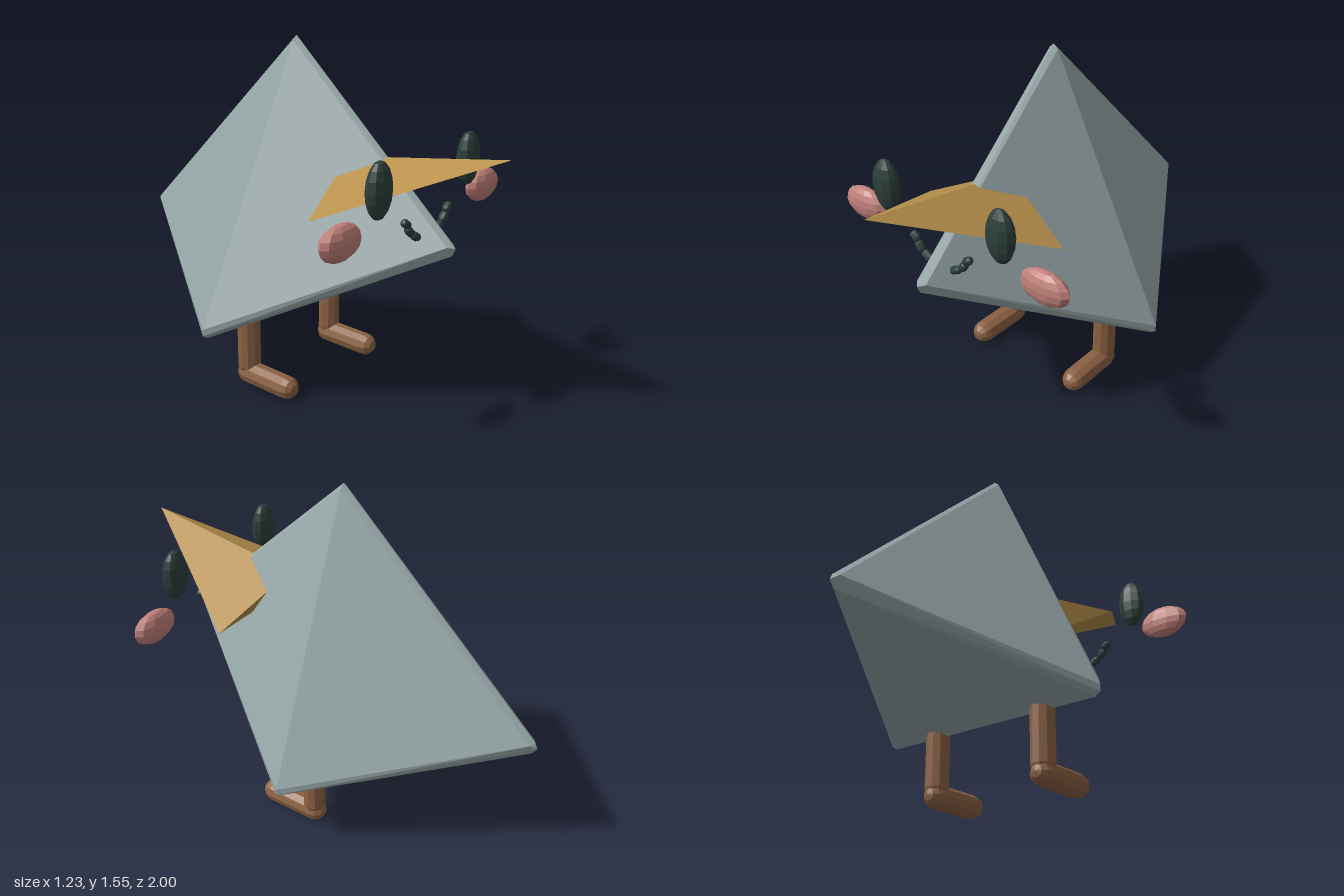
import * as THREE from 'three';
import { ConvexGeometry } from 'three/addons/geometries/ConvexGeometry.js';

const material = (color) => new THREE.MeshStandardMaterial({ color, flatShading: true });
const bodyMat = material(0x95a5a6);
const beakMat = material(0xb8904c);
const eyeMat = material(0x2c3e3a);
const cheekMat = material(0xc08079);
const legMat = material(0x8b6142);

const hull = (points) => new ConvexGeometry(points.map((p) => new THREE.Vector3(...p)));

export function createModel() {
  const model = new THREE.Group();
  model.name = 'pyramidBird';

  const add = (name, geometry, mat, position = [0, 0, 0]) => {
    const mesh = new THREE.Mesh(geometry, mat);
    mesh.name = name;
    mesh.position.set(...position);
    model.add(mesh);
    return mesh;
  };

  // Low-poly ellipsoid
  const ellipsoid = (name, mat, position, radii) =>
    add(name, new THREE.SphereGeometry(1, 10, 8).scale(...radii), mat, position);

  // Faceted rod with domed ends between two points
  const rod = (name, mat, a, b, radius, sides) => {
    const from = new THREE.Vector3(...a);
    const dir = new THREE.Vector3(...b).sub(from);
    const mesh = add(name, new THREE.CapsuleGeometry(radius, dir.length(), 3, sides), mat);
    mesh.position.copy(from).addScaledVector(dir, 0.5);
    mesh.quaternion.setFromUnitVectors(new THREE.Vector3(0, 1, 0), dir.normalize());
    return mesh;
  };

  // Body: five-cornered pyramid with narrow bevels at ridges and base
  const corners = [
    [0, 1.55, -0.05],
    [0, 0.8, 0.77], [0, 0.785, 0.785], [0, 0.75, 0.77],
    [0, 0.65, -0.99], [0, 0.625, -1], [0, 0.595, -0.98],
  ];
  for (const s of [1, -1]) {
    corners.push(
      [s * 0.022, 1.53, -0.05],
      [s * 0.025, 0.79, 0.76],
      [s * 0.025, 0.645, -0.975],
      [s * 0.56, 0.36, -0.09], [s * 0.56, 0.33, -0.09], [s * 0.535, 0.313, -0.09],
    );
  }
  add('body', hull(corners), bodyMat);

  // Beak: tetrahedron whose back corner sits inside the body
  add('beak', hull([
    [0, 1.185, 1], [0.375, 0.895, 0.34], [-0.375, 0.895, 0.34], [0, 1.067, 0.235],
  ]), beakMat);

  for (const [side, s] of [['left', 1], ['right', -1]]) {
    ellipsoid(side + 'Eye', eyeMat, [s * 0.312, 1.067, 0.633], [0.068, 0.117, 0.043]);
    ellipsoid(side + 'Cheek', cheekMat, [s * 0.497, 0.905, 0.6], [0.118, 0.074, 0.044]);

    // Half of the smile, as a row of beads
    const smile = [[0.153, 0.9, 0.139, 0.89], [0.127, 0.866, 0.115, 0.852], [0.09, 0.833, 0.068, 0.821]];
    smile.forEach(([x1, y1, x2, y2], i) =>
      rod(side + 'MouthBead' + (i + 1), eyeMat, [s * x1, y1, 0.645], [s * x2, y2, 0.645], 0.018, 8));

    // Leg and forward-pointing foot
    rod(side + 'Leg', legMat, [s * 0.282, 0.09, -0.09], [s * 0.282, 0.36, -0.09], 0.052, 10);
    rod(side + 'Foot', legMat, [s * 0.282, 0.053, -0.093], [s * 0.282, 0.053, 0.138], 0.053, 10);
  }

  return model;
}
